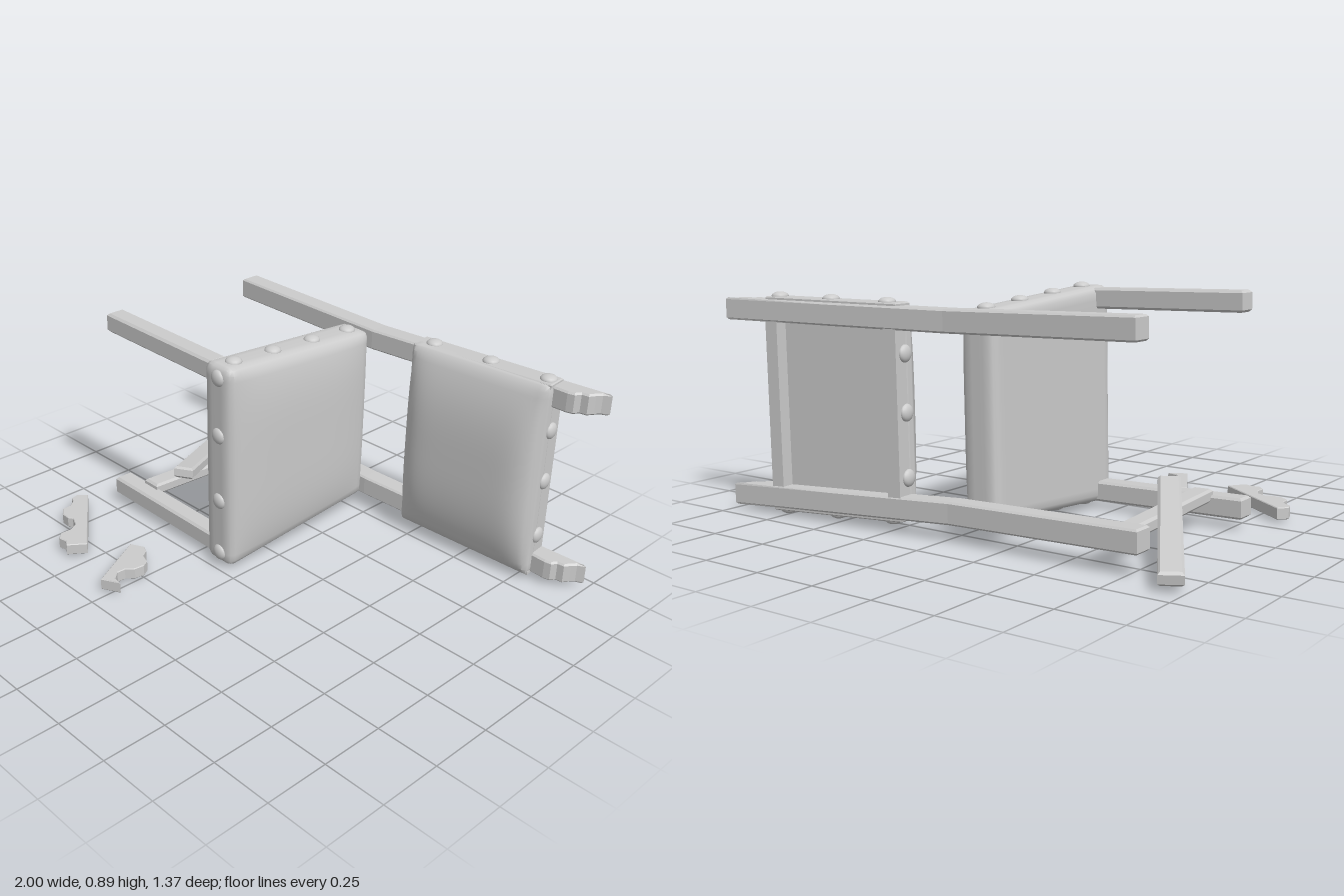
import * as THREE from 'three';
import { mergeVertices, toCreasedNormals } from 'three/addons/utils/BufferGeometryUtils.js';

const material = new THREE.MeshStandardMaterial({ color: 0xcccccc });

function add(parent, name, geometry, x = 0, y = 0, z = 0) {
  const mesh = new THREE.Mesh(geometry, material);
  mesh.name = name;
  mesh.position.set(x, y, z);
  parent.add(mesh);
  return mesh;
}

// Bevelled plate: outline given as [x, z] points, thickness runs along y, centred
function plate(points, thickness, bevel) {
  const shape = new THREE.Shape(points.map(([x, z]) => new THREE.Vector2(x, -z)));
  const geometry = new THREE.ExtrudeGeometry(shape, {
    depth: thickness - 2 * bevel, bevelEnabled: true, bevelSegments: 1,
    bevelSize: bevel, bevelThickness: bevel, bevelOffset: -bevel,
  });
  geometry.translate(0, 0, -thickness / 2 + bevel);
  geometry.rotateX(-Math.PI / 2);
  return geometry;
}

// Straight bar along x with all edges chamfered
function bar(length, height, depth, bevel = 0.009) {
  const l = length / 2, d = depth / 2;
  return plate([[-l, -d], [l, -d], [l, d], [-l, d]], height, bevel);
}

// Soft-edged slab with a crowned +z face; taper narrows it toward +x
function cushion(w, h, d, r, crown, powX, powY, taper = 0) {
  let geometry = new THREE.BoxGeometry(w, h, d, 32, 32, 6);
  geometry.deleteAttribute('uv');
  geometry.deleteAttribute('normal');
  geometry = mergeVertices(geometry);
  const pos = geometry.attributes.position;
  const p = new THREE.Vector3(), inner = new THREE.Vector3();
  const limit = new THREE.Vector3(w / 2 - r, h / 2 - r, d / 2 - r);
  for (let i = 0; i < pos.count; i++) {
    p.fromBufferAttribute(pos, i);
    const bulge = (1 - Math.abs(2 * p.x / w) ** powX) * (1 - Math.abs(2 * p.y / h) ** powY);
    const front = p.z > d / 2 - 1e-4;
    inner.copy(p).clamp(limit.clone().negate(), limit);
    p.sub(inner);
    if (p.length() > 0) p.setLength(r);
    p.add(inner);
    if (front) p.z += crown * bulge;
    pos.setXYZ(i, p.x, p.y * (1 - taper * p.x), p.z);
  }
  return toCreasedNormals(geometry, 0.7);
}

// Domed upholstery nail, flattened along one axis
function nail(parent, x, y, z, axis) {
  const mesh = add(parent, 'upholsteryNail', new THREE.SphereGeometry(0.033, 16, 12), x, y, z);
  mesh.scale[axis] = 0.55;
}

export function createModel() {
  const model = new THREE.Group();
  model.name = 'brokenChair';

  // Chair lying on its side: height along x, width along y
  const chair = new THREE.Group();
  chair.name = 'fallenChair';
  chair.position.y = 0.447;
  chair.rotation.z = -0.02;
  model.add(chair);

  // Back posts with a bend at the seat and a carved ear at the tip
  const postOutline = [
    [-0.795, -0.53], [-0.795, -0.612], [-0.02, -0.612], [0.5, -0.652], [0.998, -0.69],
    [0.97, -0.672], [0.955, -0.652], [0.94, -0.628], [0.912, -0.624], [0.898, -0.602],
    [0.87, -0.596], [0.8, -0.597], [0.4, -0.565], [-0.02, -0.53],
  ];
  for (const side of [-1, 1]) {
    const post = plate(postOutline, 0.085, 0.007);
    const pos = post.attributes.position;
    for (let i = 0; i < pos.count; i++) {
      pos.setY(i, pos.getY(i) + side * (0.34 + 0.025 * Math.max(0, pos.getX(i))));
    }
    post.computeVertexNormals();
    add(chair, 'backPost', post);
    add(chair, 'frontLeg', bar(0.64, 0.08, 0.08), -0.475, side * 0.38, 0.17);
  }

  // Remaining side stretcher between the lower legs
  const stretcher = add(chair, 'sideStretcher', bar(0.7, 0.05, 0.08), -0.63, -0.36, -0.2);
  stretcher.rotation.set(0, Math.PI / 2, 0);
  stretcher.rotation.z = -0.05;

  // Seat, its top facing +x
  const seat = cushion(0.76, 0.806, 0.145, 0.03, 0.032, 4, 4, 0.18);
  seat.rotateY(Math.PI / 2);
  add(chair, 'seat', seat, -0.1025, 0, -0.15);
  for (const z of [0.15, -0.05, -0.26, -0.46]) {
    const half = 0.403 * (1 + 0.18 * (z + 0.15));
    for (const side of [-1, 1]) nail(chair, -0.095, side * half, z, 'y');
  }
  for (const y of [-0.38, -0.145, 0.14, 0.38]) nail(chair, -0.095, y, 0.228, 'z');

  // Backrest, leaning with the upper posts
  const back = new THREE.Group();
  back.name = 'backrest';
  back.position.z = -0.575;
  back.rotation.y = 0.076;
  chair.add(back);
  add(back, 'backPad', cushion(0.62, 0.81, 0.055, 0.02, 0.06, 7, 3, -0.04), 0.5, 0, 0.043);
  for (const side of [-1, 1]) {
    const wrap = add(back, 'sideWrap', bar(0.615, 0.02, 0.085, 0.004), 0.5, side * 0.396, 0.013);
    wrap.rotation.z = side * 0.025;
    for (const x of [0.26, 0.52, 0.77]) nail(back, x, side * (0.393 + 0.025 * x), 0.012, 'y');
    // Cross rails at both ends of the pad
    const railX = 0.5 + side * 0.28;
    add(back, 'crossRail', bar(0.055, 0.66, 0.09), railX, 0, 0.01);
    for (const y of [-0.24, 0, 0.215]) nail(back, railX + side * 0.028, y, 0.018, 'x');
  }

  // Loose stretcher propped on the fixed one
  const low = new THREE.Vector3(-0.957, 0.043, -0.666), high = new THREE.Vector3(-0.553, 0.175, 0.037);
  const run = high.clone().sub(low);
  const loose = add(model, 'looseStretcher', bar(run.length(), 0.05, 0.085));
  loose.position.copy(low).lerp(high, 0.5);
  loose.rotation.order = 'YZX';
  loose.rotation.y = Math.atan2(-run.z, run.x);
  loose.rotation.z = Math.atan2(run.y, Math.hypot(run.x, run.z));

  // Broken carved fragments on the floor
  add(model, 'longFragment', plate([
    [-0.856, 0.326], [-0.53, 0.565], [-0.58, 0.632], [-0.61, 0.615], [-0.645, 0.622], [-0.672, 0.595],
    [-0.67, 0.55], [-0.69, 0.51], [-0.735, 0.49], [-0.755, 0.502], [-0.795, 0.5], [-0.83, 0.475],
    [-0.833, 0.435], [-0.855, 0.405], [-0.878, 0.395], [-0.888, 0.36],
  ], 0.047, 0.003), 0, 0.036, 0);
  add(model, 'shortFragment', plate([
    [-0.41, 0.44], [-0.283, 0.68], [-0.21, 0.642], [-0.25, 0.635], [-0.277, 0.605], [-0.275, 0.57],
    [-0.25, 0.54], [-0.245, 0.5], [-0.262, 0.47], [-0.305, 0.455], [-0.325, 0.425], [-0.353, 0.412],
  ], 0.047, 0.003), 0, 0.036, 0);

  return model;
}
